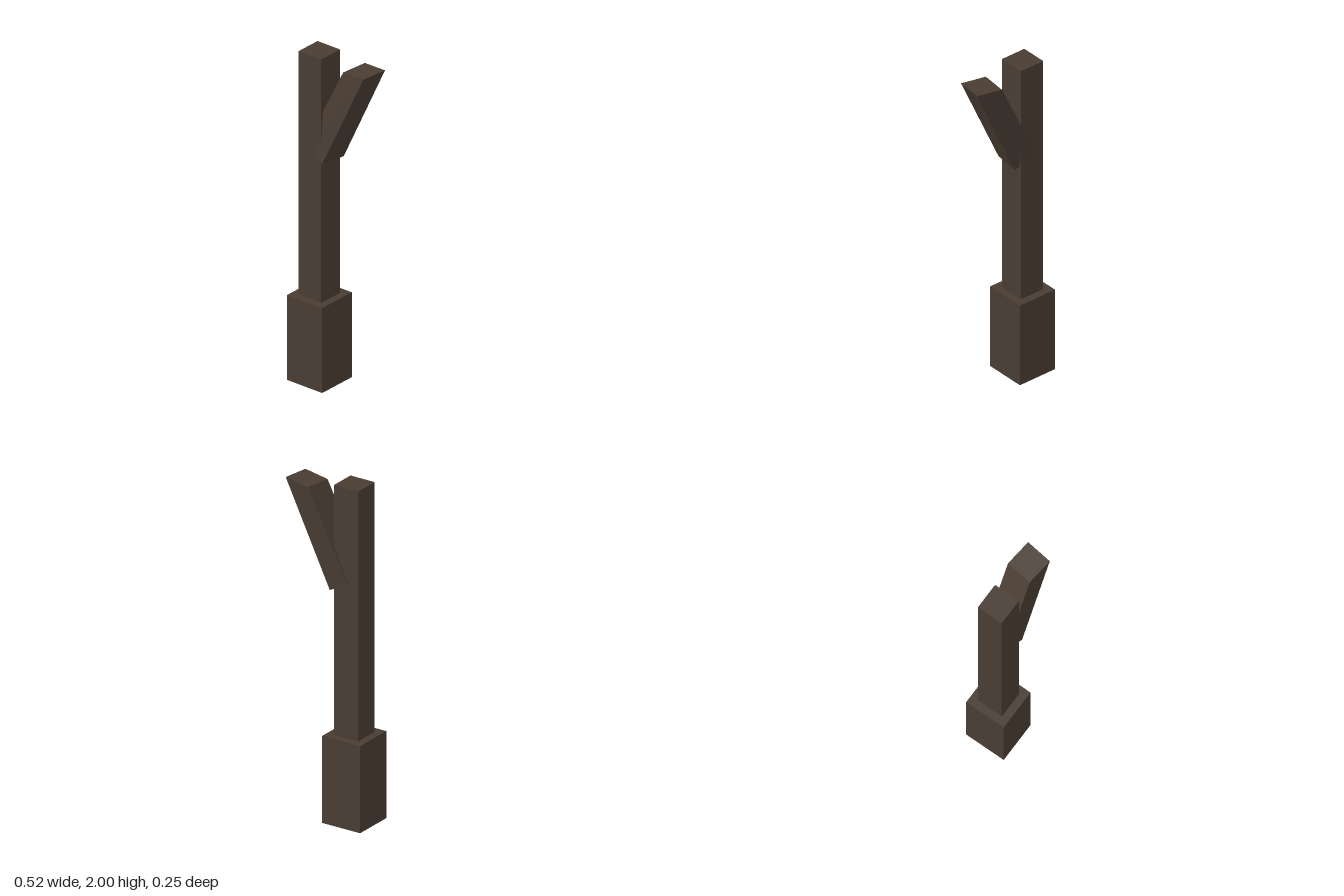
import * as THREE from 'three';

const wood = new THREE.MeshStandardMaterial({ color: 0x4a3d33, flatShading: true });

function addBox(group, name, size, position) {
  const mesh = new THREE.Mesh(new THREE.BoxGeometry(...size), wood);
  mesh.name = name;
  mesh.position.set(...position);
  group.add(mesh);
}

// Box whose two end quads are given as [backLeft, backRight, frontRight, frontLeft] (left = -x)
function beamGeometry(bottom, top) {
  const geometry = new THREE.BoxGeometry(1, 1, 1);
  const p = geometry.attributes.position;
  for (let i = 0; i < p.count; i++) {
    const ring = p.getY(i) > 0 ? top : bottom;
    const right = p.getX(i) > 0;
    const corner = p.getZ(i) < 0 ? (right ? 1 : 0) : (right ? 2 : 3);
    p.setXYZ(i, ...ring[corner]);
  }
  geometry.computeVertexNormals();
  return geometry;
}

export function createModel() {
  const model = new THREE.Group();
  model.name = 'forkedPost';

  addBox(model, 'base', [0.25, 0.517, 0.252], [-0.135, 0.2585, 0]);
  addBox(model, 'post', [0.16, 1.5, 0.16], [-0.135, 1.25, 0]);

  // Leaning branch: square lower end, upper end cut almost level
  const branch = new THREE.Mesh(beamGeometry(
    [[-0.155, 1.43, -0.088], [-0.02, 1.365, -0.069], [-0.04, 1.37, 0.091], [-0.175, 1.435, 0.072]],
    [[0.1, 1.958, -0.105], [0.26, 1.972, -0.085], [0.24, 1.969, 0.075], [0.08, 1.955, 0.055]],
  ), wood);
  branch.name = 'branch';
  model.add(branch);

  return model;
}
